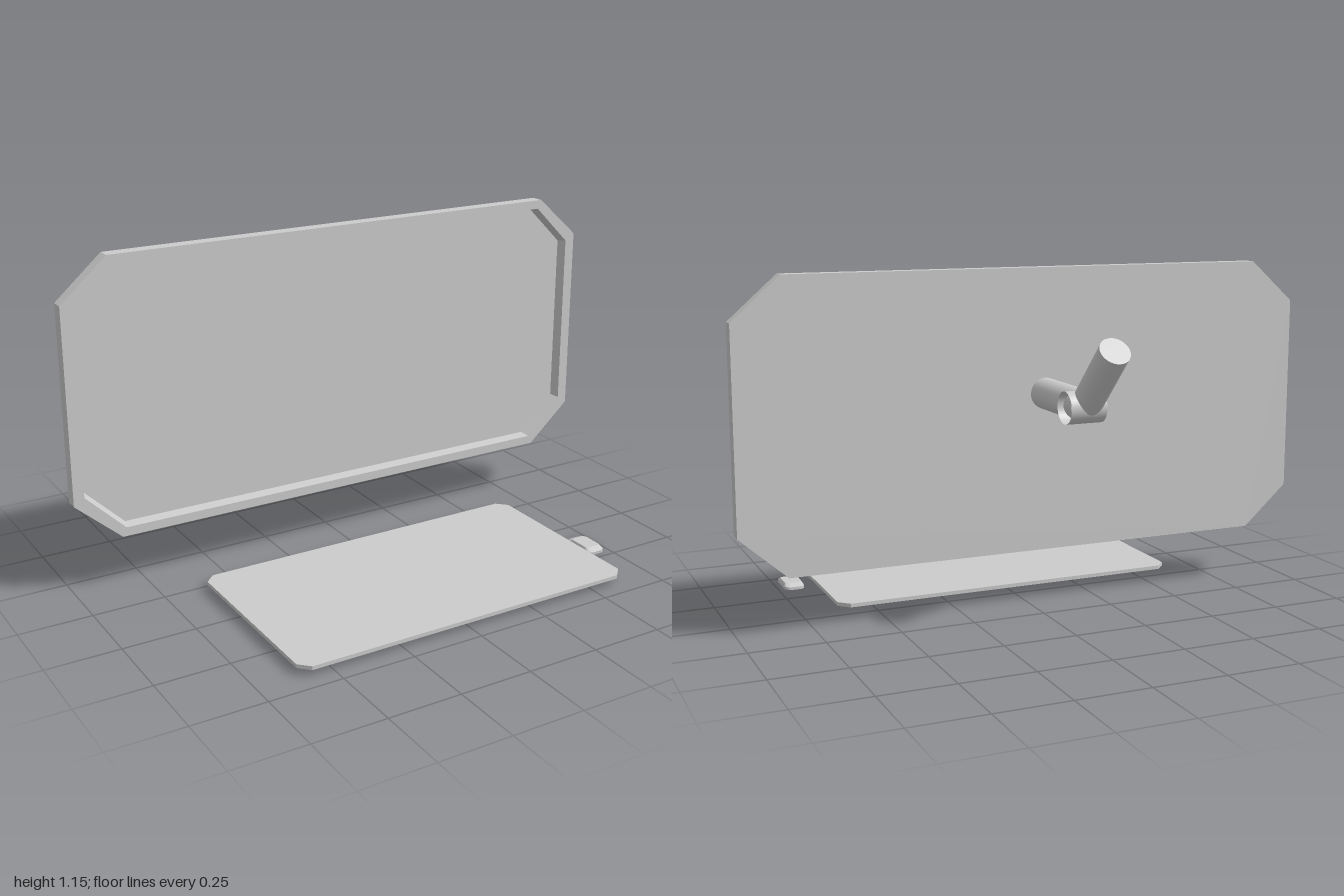
import * as THREE from 'three';

const grey = new THREE.MeshStandardMaterial({ color: 0xcccccc });
const greyDouble = new THREE.MeshStandardMaterial({ color: 0xcccccc, side: THREE.DoubleSide });

function add(group, name, geometry, material = grey) {
  const mesh = new THREE.Mesh(geometry, material);
  mesh.name = name;
  group.add(mesh);
  return mesh;
}

// Rectangle of half size (w, h) with corners cut by (cx, cy)
function cutRect(w, h, cx, cy) {
  return [
    [w, cy - h], [w, h - cy], [w - cx, h], [cx - w, h],
    [-w, h - cy], [-w, cy - h], [cx - w, -h], [w - cx, -h],
  ].map(([x, y]) => new THREE.Vector2(x, y));
}

const extrude = (shape, depth, steps = 1) =>
  new THREE.ExtrudeGeometry(shape, { depth, steps, bevelEnabled: false, curveSegments: 6 });

// Cylinder between two points
function rod(group, name, from, to, radius) {
  const a = new THREE.Vector3(...from), b = new THREE.Vector3(...to);
  const dir = b.clone().sub(a);
  const mesh = add(group, name, new THREE.CylinderGeometry(radius, radius, dir.length(), 32));
  mesh.position.copy(a).add(b).multiplyScalar(0.5);
  mesh.quaternion.setFromUnitVectors(new THREE.Vector3(0, 1, 0), dir.normalize());
  return mesh;
}

export function createModel() {
  const model = new THREE.Group();
  model.name = 'desktopComputer';

  // Monitor: back plate carrying the screen, and a raised rim around it
  const monitor = new THREE.Group();
  monitor.name = 'monitor';
  monitor.position.set(0, 0.671, -0.16);
  model.add(monitor);
  const outline = cutRect(1, 0.476, 0.16, 0.142);
  add(monitor, 'screenPanel', extrude(new THREE.Shape(outline), 0.012));

  const rimShape = new THREE.Shape(outline);
  rimShape.holes.push(new THREE.Path(cutRect(0.963, 0.445, 0.137, 0.135).reverse()));
  const rim = extrude(rimShape, 0.035);
  // The inner wall slopes in slightly towards the screen
  const rp = rim.attributes.position;
  for (let i = 0; i < rp.count; i++) {
    const x = rp.getX(i), y = rp.getY(i);
    const inner = Math.abs(x) < 0.97 && Math.abs(y) < 0.46;
    if (inner && rp.getZ(i) < 0.01) rp.setXY(i, x * 0.99, y * 0.984);
  }
  rim.computeVertexNormals();
  add(monitor, 'screenRim', rim).position.z = 0.012;

  // Wall arm: straight tube, open hinge sleeve and raised tube
  const arm = new THREE.Group();
  arm.name = 'wallArm';
  model.add(arm);
  const ax = -0.043;
  rod(arm, 'armTube', [ax, 0.73, -0.155], [ax, 0.73, -0.466], 0.052);
  rod(arm, 'raisedArmTube', [ax, 0.725, -0.455], [ax, 0.927, -0.657], 0.05);
  const sleeve = add(arm, 'hingeSleeve',
    new THREE.CylinderGeometry(0.052, 0.052, 0.123, 32, 1, true), greyDouble);
  sleeve.rotation.z = Math.PI / 2;
  sleeve.position.set(-0.032, 0.73, -0.462);
  const cap = add(arm, 'hingeCap', new THREE.CircleGeometry(0.052, 32), greyDouble);
  cap.rotation.y = -Math.PI / 2;
  cap.position.set(-0.0935, 0.73, -0.462);

  // Keyboard slab
  const keyboard = add(model, 'keyboard',
    extrude(new THREE.Shape(cutRect(0.62, 0.347, 0.035, 0.035)), 0.013));
  keyboard.rotation.x = -Math.PI / 2;
  keyboard.position.set(0.01, 0.022, 0.347);

  // Mouse: rounded outline whose top tapers inwards
  const w = 0.035, h = 0.066, r = 0.02;
  const m = new THREE.Shape();
  m.absarc(w - r, h - r, r, 0, Math.PI / 2);
  m.absarc(r - w, h - r, r, Math.PI / 2, Math.PI);
  m.absarc(r - w, r - h, r, Math.PI, Math.PI * 1.5);
  m.absarc(w - r, r - h, r, Math.PI * 1.5, Math.PI * 2);
  const body = extrude(m, 0.02, 2);
  const mp = body.attributes.position;
  for (let i = 0; i < mp.count; i++) {
    if (mp.getZ(i) > 0.015) mp.setXY(i, mp.getX(i) * 0.85, mp.getY(i) * 0.65);
  }
  body.computeVertexNormals();
  const mouse = add(model, 'mouse', body);
  mouse.rotation.x = -Math.PI / 2;
  mouse.position.set(0.694, 0, 0.411);

  return model;
}
